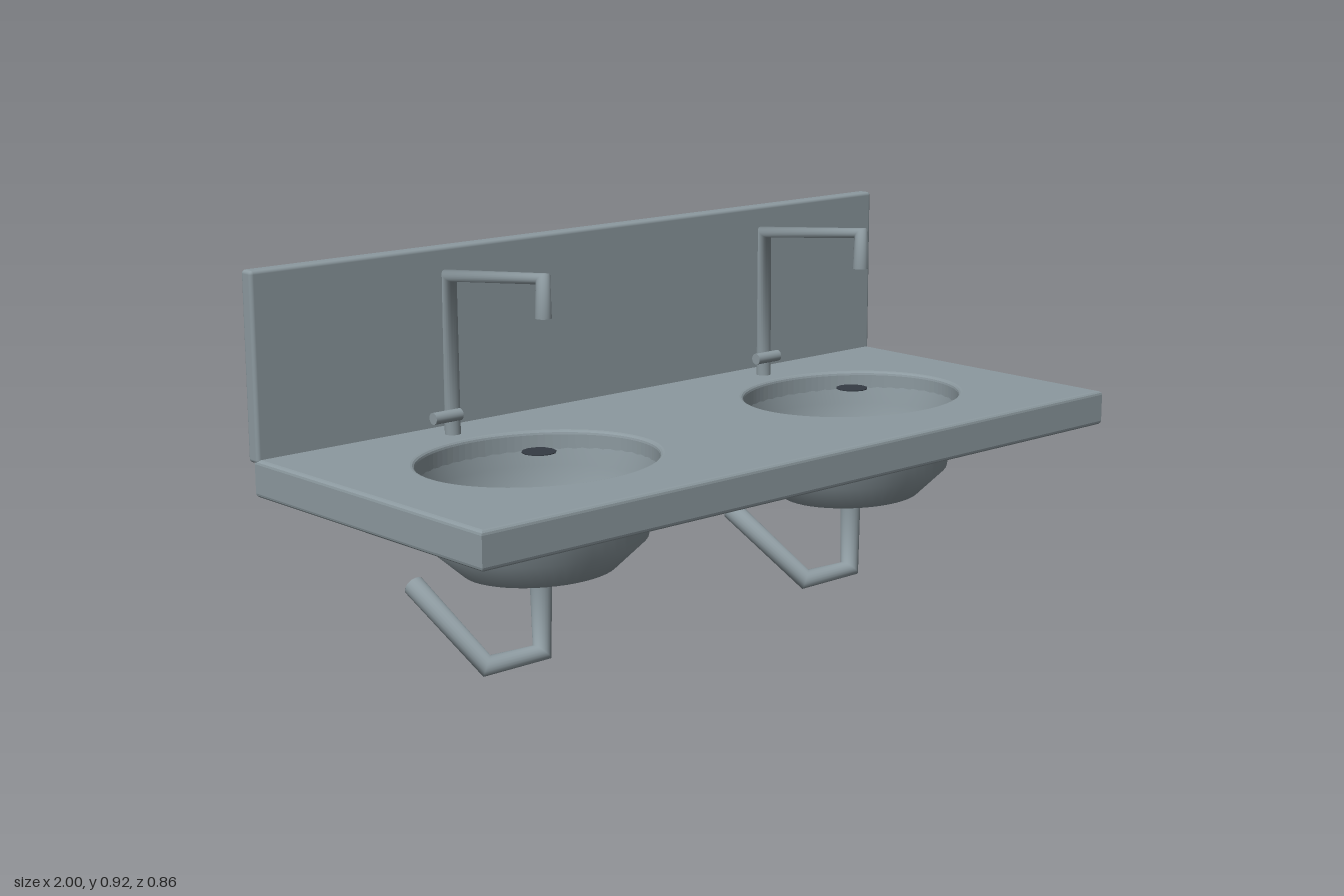
import * as THREE from 'three';
import { RoundedBoxGeometry } from 'three/addons/geometries/RoundedBoxGeometry.js';

const BASIN_X = [-0.512, 0.512];
const BASIN_Z = 0.012;
const steel = new THREE.MeshStandardMaterial({ color: 0x8c999f, side: THREE.DoubleSide });
steel.name = 'blueGreySteel';
const dark = new THREE.MeshStandardMaterial({ color: 0x343b43, side: THREE.DoubleSide });
dark.name = 'darkDrain';

function part(name, geometry, material = steel) {
  const mesh = new THREE.Mesh(geometry, material);
  mesh.name = name;
  return mesh;
}

// Polyline whose rings sit on the bisector of each bend
class BentPath extends THREE.Curve {
  constructor(points) {
    super();
    this.points = points.map((p) => new THREE.Vector3(...p));
  }
  index(u) {
    return Math.round(u * (this.points.length - 1));
  }
  getPoint(u, target = new THREE.Vector3()) {
    return target.copy(this.points[this.index(u)]);
  }
  getPointAt(u, target) {
    return this.getPoint(u, target);
  }
  getTangentAt(u, target = new THREE.Vector3()) {
    const i = this.index(u), p = this.points;
    target.set(0, 0, 0);
    if (i > 0) target.add(p[i].clone().sub(p[i - 1]).normalize());
    if (i < p.length - 1) target.add(p[i + 1].clone().sub(p[i]).normalize());
    return target.normalize();
  }
}

// Bent tube with a flat cap on each end
function pipe(name, points, radius) {
  const group = new THREE.Group();
  group.name = name;
  const path = new BentPath(points);
  group.add(part(name + 'Tube', new THREE.TubeGeometry(path, points.length - 1, radius, 20)));
  for (const u of [0, 1]) {
    const cap = part(name + 'Cap', new THREE.CircleGeometry(radius, 20));
    const out = path.getTangentAt(u).multiplyScalar(u ? 1 : -1);
    cap.position.copy(path.getPointAt(u));
    cap.quaternion.setFromUnitVectors(new THREE.Vector3(0, 0, 1), out);
    group.add(cap);
  }
  return group;
}

// Slab with softened edges and two oval cut-outs
function countertop() {
  const bevel = 0.01, bottom = 0.405, top = 0.493;
  const slab = new THREE.Shape([
    new THREE.Vector2(-1, -0.43), new THREE.Vector2(1, -0.43),
    new THREE.Vector2(1, 0.403), new THREE.Vector2(-1, 0.403),
  ]);
  for (const x of BASIN_X) {
    const hole = new THREE.Path();
    hole.absellipse(x, -BASIN_Z, 0.296, 0.25, 0, Math.PI * 2, true);
    slab.holes.push(hole);
  }
  const geometry = new THREE.ExtrudeGeometry(slab, {
    depth: top - bottom - 2 * bevel, curveSegments: 48,
    bevelSize: bevel, bevelThickness: bevel, bevelOffset: -bevel, bevelSegments: 3,
  });
  geometry.rotateX(-Math.PI / 2).translate(0, bottom + bevel, 0);
  return part('countertop', geometry);
}

// Oval bowl, open at the drain
function bowl() {
  const profile = [[0.035, 0.21], [0.19, 0.235], [0.267, 0.302], [0.286, 0.41], [0.306, 0.492]];
  const geometry = new THREE.LatheGeometry(profile.map(([r, y]) => new THREE.Vector2(r, y)), 48);
  return part('bowl', geometry.scale(1, 1, 0.85).translate(0, 0, BASIN_Z));
}

// Bowl, drain, trap, faucet and handle of one station
function station(x) {
  const group = new THREE.Group();
  group.name = 'washStation';
  group.position.x = x;
  group.add(bowl());

  const drain = part('drain', new THREE.CylinderGeometry(0.04, 0.04, 0.002, 12), dark);
  drain.position.set(0, 0.506, 0.013);
  group.add(drain);

  group.add(pipe('drainPipe', [
    [0, 0.203, 0.013], [0, 0.03, 0.013], [-0.157, 0.03, 0.008], [-0.157, 0.16, -0.263],
  ], 0.026));
  group.add(pipe('faucet', [
    [0, 0.49, -0.309], [0, 0.871, -0.309], [0, 0.905, 0.036], [0, 0.816, 0.036],
  ], 0.019));

  const handle = part('handle', new THREE.CylinderGeometry(0.014, 0.014, 0.077, 20));
  handle.rotation.z = Math.PI / 2;
  handle.position.set(-0.108, 0.571, -0.187);
  group.add(handle);
  return group;
}

export function createModel() {
  const model = new THREE.Group();
  model.name = 'doubleWashbasin';
  model.add(countertop());

  const splash = part('backsplash', new RoundedBoxGeometry(2, 0.442, 0.039, 3, 0.009));
  splash.position.set(0, 0.704, -0.41);
  model.add(splash);

  for (const x of BASIN_X) model.add(station(x));
  return model;
}
